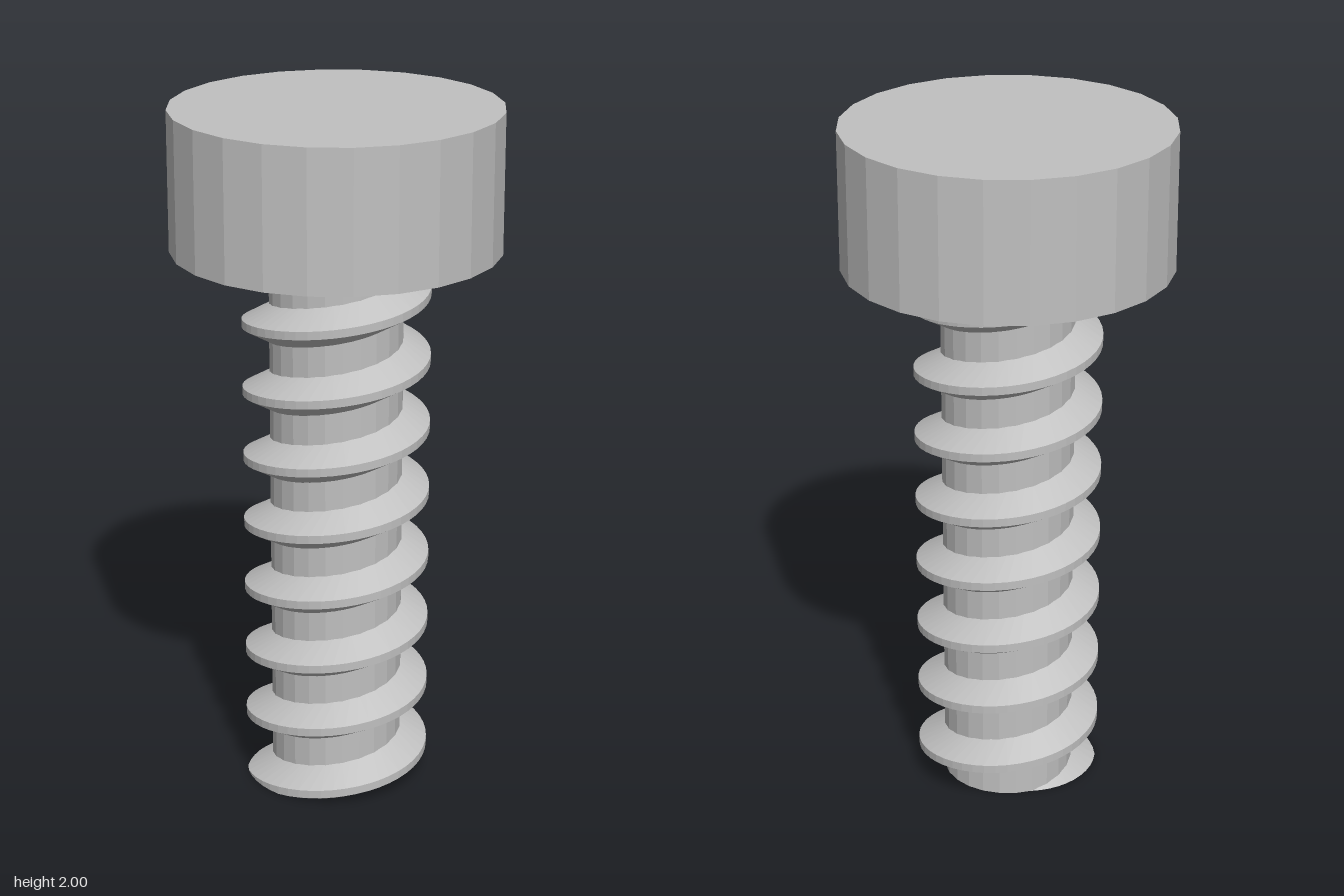
import * as THREE from 'three';

const SHAFT_R = 0.19, CREST_R = 0.267, ROOT_R = 0.182;
const PITCH = 0.2, HALF_ROOT = 0.06, HALF_CREST = 0.012;
const HEAD_BASE = 1.6, STEPS = 48;

// Thread radius at a height dy away from the crest line
function threadRadius(dy) {
  const t = (HALF_ROOT - Math.abs(dy)) / (HALF_ROOT - HALF_CREST);
  return THREE.MathUtils.lerp(ROOT_R, CREST_R, THREE.MathUtils.clamp(t, 0, 1));
}

// Helical ridge swept from a trapezoid, cut flat at y = 0 and ending inside the head
function threadGeometry() {
  const offsets = [-HALF_ROOT, -HALF_CREST, HALF_CREST, HALF_ROOT];
  const positions = [], index = [];
  const crestAtFront = 0.02;
  const dy = PITCH / STEPS;
  const first = Math.floor((-HALF_ROOT - crestAtFront) / dy);
  const last = Math.ceil((HEAD_BASE + HALF_ROOT + 0.02 - crestAtFront) / dy);
  const row = offsets.length + 1;

  for (let i = first; i <= last; i++) {
    const a = (i / STEPS) * Math.PI * 2;
    const yc = crestAtFront + i * dy;
    const add = (r, y) => positions.push(r * Math.sin(a), y, r * Math.cos(a));
    add(ROOT_R, Math.max(0, yc - HALF_ROOT)); // inner point closes the cut end
    for (const o of offsets) {
      const y = Math.max(0, yc + o);
      add(threadRadius(y - yc), y);
    }
  }
  for (let i = 0; i < last - first; i++) {
    for (let j = 0; j < row - 1; j++) {
      const p = i * row + j, q = p + row;
      index.push(p, q, q + 1, p, q + 1, p + 1);
    }
  }
  const g = new THREE.BufferGeometry();
  g.setAttribute('position', new THREE.Float32BufferAttribute(positions, 3));
  g.setIndex(index);
  g.computeVertexNormals();
  return g;
}

export function createModel() {
  const steel = new THREE.MeshStandardMaterial({ color: 0xc0c0c0, flatShading: true });
  steel.name = 'steel grey';

  const model = new THREE.Group();
  model.name = 'screw';
  const add = (name, geometry, y = 0) => {
    const mesh = new THREE.Mesh(geometry, steel);
    mesh.name = name;
    mesh.position.y = y;
    model.add(mesh);
  };

  // Plain cylindrical head, shaft and thread
  add('head', new THREE.CylinderGeometry(0.466, 0.466, 0.4, 24), 1.8);
  add('shaft', new THREE.CylinderGeometry(SHAFT_R, SHAFT_R, HEAD_BASE, 24, 1), HEAD_BASE / 2);
  add('thread', threadGeometry());
  return model;
}
